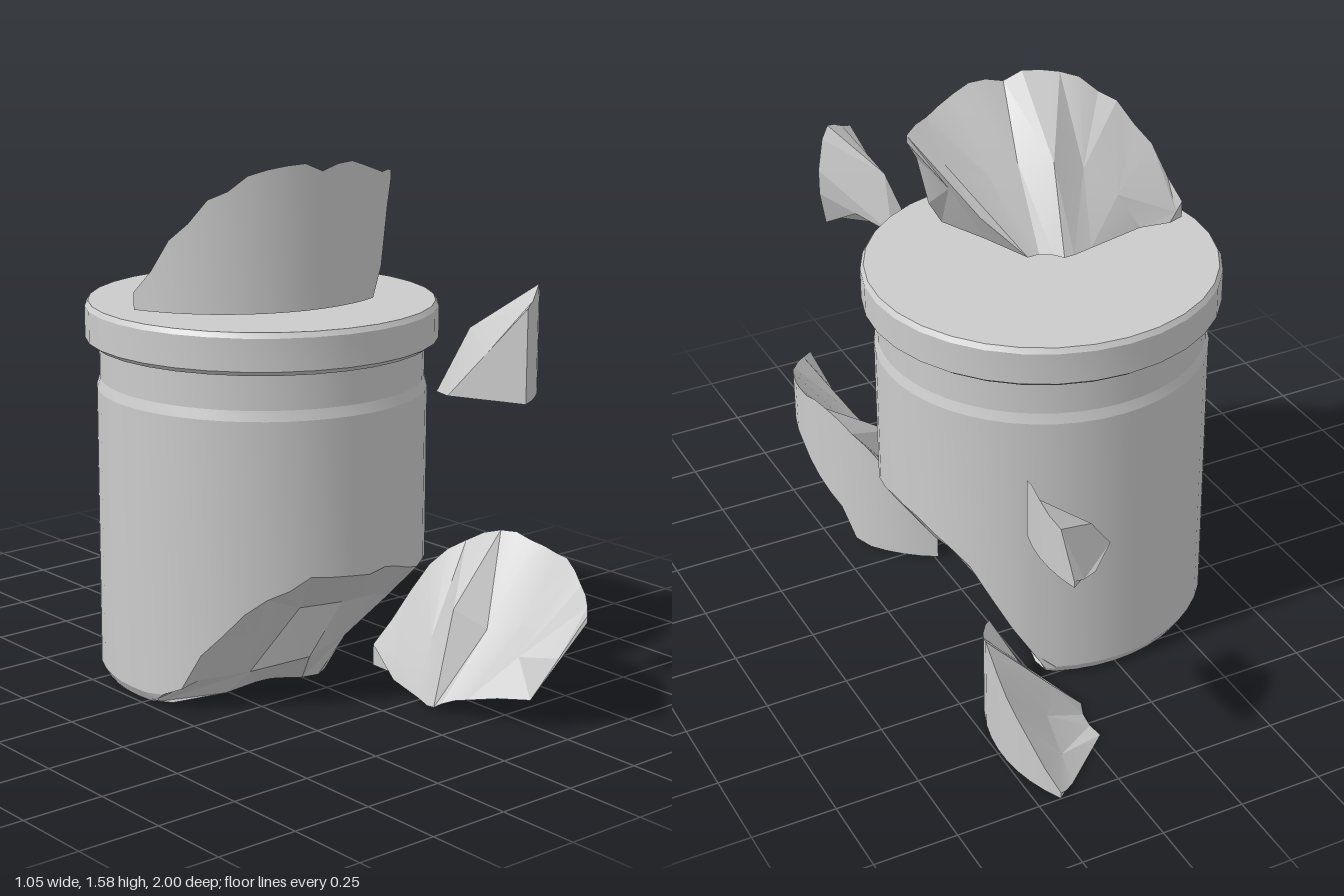
import * as THREE from 'three';
import { toCreasedNormals } from 'three/addons/utils/BufferGeometryUtils.js';

const R = 0.493;
const { degToRad, lerp, clamp } = THREE.MathUtils;
const material = new THREE.MeshStandardMaterial({ color: 0xcccccc });

// Repeatable roughness in the range -1..1
const rough = (n) => { const s = Math.sin(n * 12.9898) * 43758.5453; return 2 * (s - Math.floor(s)) - 1; };

// Linear lookup of column k in rows sorted by angle
function lookup(rows, t, k) {
  const i = rows.findIndex((row) => t <= row[0]);
  if (i === 0) return rows[0][k];
  if (i < 0) return rows[rows.length - 1][k];
  const a = rows[i - 1], b = rows[i];
  return lerp(a[k], b[k], (t - a[0]) / (b[0] - a[0]));
}

// Nearest coarse angle, so that several columns share a point and form large facets
const snap = (a, step, from, to) => clamp(Math.round(a / step) * step, from, to);

// Point at an angle (0 = +x, 90 = +z), radius and height
const polar = (deg, r, y) => [r * Math.cos(degToRad(deg)), y, r * Math.sin(degToRad(deg))];

// Skin columns of points: 'around' joins last column to first, otherwise columns are closed rings with capped ends
function loft(cols, around) {
  const pos = [], n = cols.length, m = cols[0].length;
  const same = (a, b) => a.every((v, i) => Math.abs(v - b[i]) < 1e-6);
  const tri = (a, b, c) => { if (!same(a, b) && !same(b, c) && !same(c, a)) pos.push(...a, ...b, ...c); };
  for (let i = 0; i < (around ? n : n - 1); i++) {
    const p = cols[i], q = cols[(i + 1) % n];
    for (let j = 0; j < (around ? m - 1 : m); j++) {
      const k = (j + 1) % m;
      tri(p[j], q[j], p[k]);
      tri(q[j], q[k], p[k]);
    }
  }
  if (!around) {
    const first = cols[0], last = cols[n - 1];
    for (let j = 1; j < m - 1; j++) {
      tri(first[0], first[j], first[j + 1]);
      tri(last[0], last[j + 1], last[j]);
    }
  }
  const g = new THREE.BufferGeometry();
  g.setAttribute('position', new THREE.Float32BufferAttribute(pos, 3));
  return toCreasedNormals(g, 0.24);
}

function addMesh(group, name, geometry, x, y, z) {
  const mesh = new THREE.Mesh(geometry, material);
  mesh.name = name;
  mesh.position.set(x, y, z);
  group.add(mesh);
}

// Bite out of the base: angle, height of the broken edge, radius left at the floor
const bite = [
  [-64, 0.03, 0.475], [-50, 0.2, 0.3], [-40, 0.34, 0.18], [-20, 0.46, 0.12], [0, 0.46, 0.12], [50, 0.35, 0.2],
  [78, 0.4, 0.21], [115, 0.41, 0.15], [135, 0.32, 0.19], [150, 0.18, 0.3], [158, 0.06, 0.38], [168, 0.03, 0.475],
];

function bodyGeometry() {
  const cols = [];
  for (let i = 0; i < 48; i++) {
    const a = -180 + i * 7.5;
    const edge = lookup(bite, a, 1);
    const coarse = (step) => (a < -64 || a > 168 ? a : snap(a, step, -64, 168));
    // point part of the way from the broken edge to the floor
    const broken = (t, step, s) => {
      const b = coarse(step), h = lookup(bite, b, 1), deep = (h - 0.03) / 0.43;
      return polar(b, lerp(R, lookup(bite, b, 2), t) + 0.045 * deep * rough(b + s),
        h * (1 - t) + 0.04 * deep * rough(b + s + 40));
    };
    const foot = coarse(15);
    cols.push([
      polar(a, 0, 1.1), polar(a, 0.484, 1.1), polar(a, 0.484, 0.91), polar(a, R, 0.88),
      polar(a, R, edge + 0.03 * (edge - 0.03) * rough(i + 70)), broken(0.36, 22, 3), broken(0.7, 34, 17),
      polar(foot, lookup(bite, foot, 2), 0),
      // drain hole
      polar(a, 0.04, 0), polar(a, 0.035, 0.05), polar(a, 0, 0.05),
    ]);
  }
  return loft(cols, true);
}

// Wall fragments: top and bottom edges by angle; the large two are the pieces the bite lost.
// 'end' is the inner radius at both ends, 'rise' lifts the core under a raised lower edge.
const shards = [
  { name: 'topFragment', x: 0, y: 1.16, z: -0.22, from: 49, to: 161, count: 18, top: bite,
    bottom: [[49, 0.33], [57, 0.24], [65, 0]], thicken: 0.05, end: 0.44, rise: 7 },
  { name: 'frontFloorFragment', x: 0, y: 0, z: 0.62, from: -61, to: 50, count: 18, top: bite,
    bottom: [[-29, 0], [-24, 0.1], [4, 0.24], [28, 0.28], [50, 0.33]], thicken: 0, end: 0.34, rise: 2.5 },
  { name: 'backFloorFragment', x: 0, y: 0, z: -0.76, from: -29, to: 42, count: 12, inner: 0.21,
    top: [[-29, 0.02], [-11, 0.19], [15, 0.31], [21, 0.27], [42, 0.21]],
    bottom: [[22, 0], [42, 0.18]], thicken: 0, end: 0.44, rise: 7 },
  { name: 'frontRaisedFragment', x: 0, y: 0.95, z: 0.4, from: 43, to: 66, count: 6, inner: 0.2,
    top: [[43, 0.2], [50, 0.33], [66, 0.27]], bottom: [[43, 0.12], [46, 0]], thicken: 0, end: 0.26, rise: 7 },
  { name: 'backRaisedFragment', x: -0.09, y: 0.69, z: -0.84, from: -16, to: 16, count: 6, inner: 0.29,
    top: [[-16, 0.02], [-10, 0.16], [8, 0.21], [16, 0.18]], bottom: [[0, 0]], thicken: 0, end: 0.42, rise: 7 },
];

function shardGeometry({ from, to, count, top, bottom, inner, thicken, end, rise }, seed) {
  const cols = [];
  // skin edges and core at one angle; thickness tapers towards both ends
  const section = (a) => {
    const high = lookup(top, a, 1), low = Math.min(lookup(bottom, a, 1), high - 0.02);
    const taper = Math.min(1, (a - from) / 13, (to - a) / 13);
    const r = lerp(end, (inner ?? lookup(bite, a, 2)) - thicken, taper);
    return { high, low, taper, r, core: rise * Math.max(0, low) ** 3 };
  };
  for (let i = 0; i < count; i++) {
    const a = lerp(from, to, i / (count - 1));
    const skin = section(a);
    const b = snap(a, 18, from, to), mid = section(b);
    const c = snap(a, 14, from, to), foot = section(c);
    cols.push([
      polar(a, R, skin.high + 0.014 * skin.taper * rough(i + seed)), polar(a, R, skin.low),
      polar(c, (R + foot.r) / 2, (foot.low + foot.core) / 2),
      polar(c, foot.r, foot.core),
      polar(b, (R + mid.r) / 2 + mid.taper * (0.04 * rough(b + seed) - 0.02),
        (mid.high + mid.core) / 2 + 0.04 * mid.taper * rough(b + seed + 30)),
    ]);
  }
  return loft(cols, false);
}

export function createModel() {
  const group = new THREE.Group();
  group.name = 'brokenPot';
  addMesh(group, 'body', bodyGeometry(), 0, 0, -0.055);

  // Closed rim with softened edges
  const profile = [[0, 1.015], [0.505, 1.015], [0.525, 1.03], [0.525, 1.125], [0.515, 1.14], [0, 1.14]]
    .map(([r, y]) => new THREE.Vector2(r, y));
  addMesh(group, 'rim', toCreasedNormals(new THREE.LatheGeometry(profile, 32), 0.5), 0, 0, -0.055);

  shards.forEach((s, i) => addMesh(group, s.name, shardGeometry(s, 5 + 13 * i), s.x, s.y, s.z));
  return group;
}
